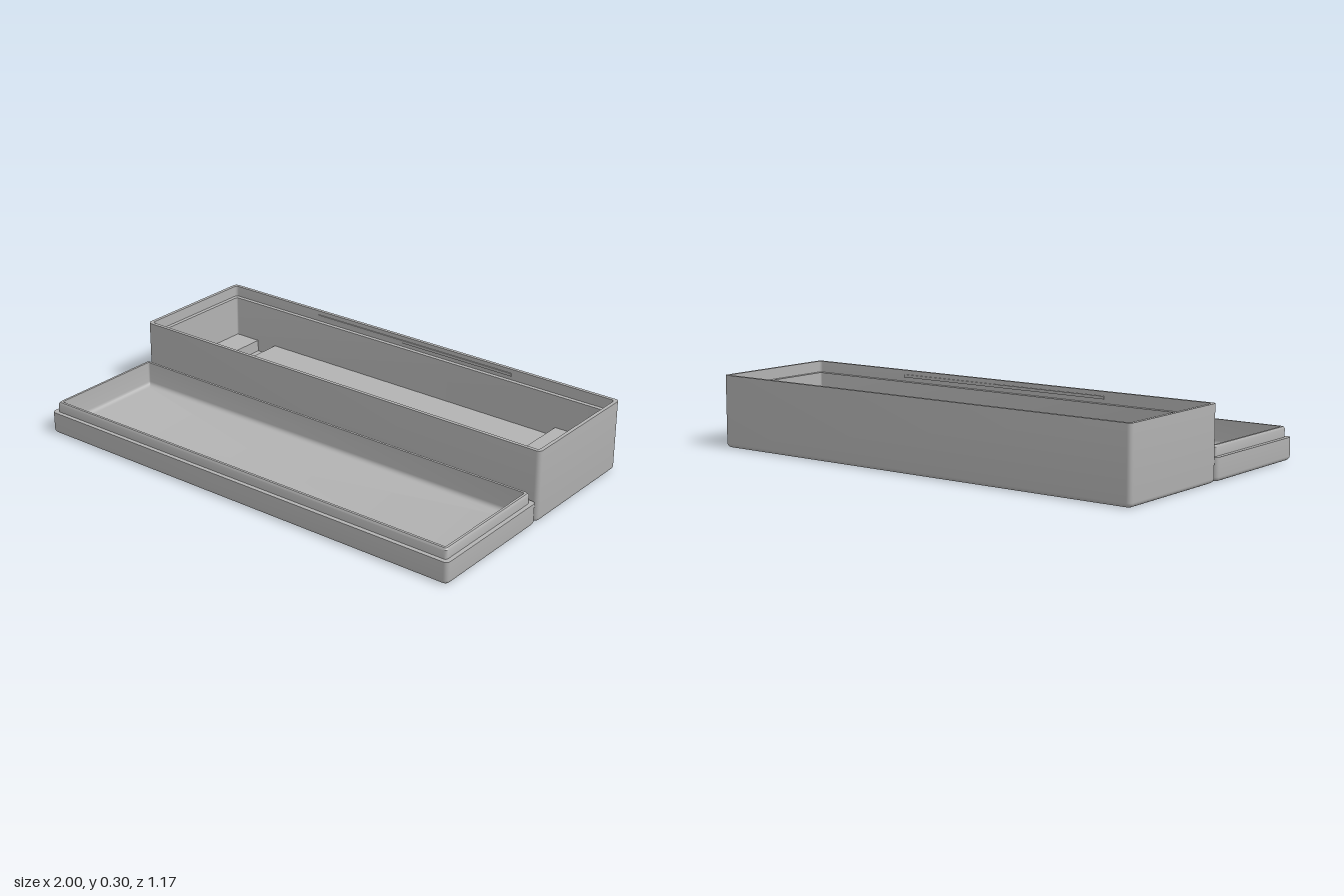
import * as THREE from 'three';
import { toCreasedNormals } from 'three/addons/utils/BufferGeometryUtils.js';

const LENGTH = 2, DEPTH = 0.579, CORNER = 0.018, STEPS = 5;
const BOX_Z = -0.2935, LID_Z = 0.2935;

// Rounded rectangle at height y, inset from the outer footprint
function ring([inset, y]) {
  const points = [];
  const r = Math.max(0.006, CORNER - inset * 0.35);
  const hx = LENGTH / 2 - inset - r, hz = DEPTH / 2 - inset - r;
  const signs = [[1, 1], [-1, 1], [-1, -1], [1, -1]];
  signs.forEach(([sx, sz], q) => {
    for (let i = 0; i <= STEPS; i++) {
      const a = (q + i / STEPS) * Math.PI / 2;
      points.push([sx * hx + r * Math.cos(a), y, sz * hz + r * Math.sin(a)]);
    }
  });
  return points;
}

// Closed tray swept through a wall profile of [inset, height] pairs
function trayGeometry(profile) {
  const rings = profile.map(ring);
  const n = rings[0].length;
  const centre = (y) => Array.from({ length: n }, () => [0, y, 0]);
  const last = rings.length;
  rings.unshift(centre(profile[0][1]));
  rings.push(centre(profile[last - 1][1]));
  const pos = [];
  for (let i = 0; i <= last; i++) {
    for (let j = 0; j < n; j++) {
      const k = (j + 1) % n;
      const a = rings[i][j], b = rings[i + 1][j], c = rings[i + 1][k], d = rings[i][k];
      if (i < last) pos.push(...b, ...c, ...d);
      if (i > 0) pos.push(...a, ...b, ...d);
    }
  }
  const geo = new THREE.BufferGeometry();
  geo.setAttribute('position', new THREE.Float32BufferAttribute(pos, 3));
  // Enlarged while smoothing so small fillets stay distinct
  geo.scale(100, 100, 100);
  const smooth = toCreasedNormals(geo, 0.6);
  smooth.scale(0.01, 0.01, 0.01);
  return smooth;
}

// Quarter-round fillet between two angles
function arc(cx, cy, r, from, to) {
  return Array.from({ length: 6 }, (_, i) => {
    const a = from + (to - from) * i / 5;
    return [cx + r * Math.cos(a), cy + r * Math.sin(a)];
  });
}

export function createModel() {
  const group = new THREE.Group();
  const grey = new THREE.MeshStandardMaterial({ color: 0xb2b2b2 });
  grey.name = 'grey plastic';

  const add = (name, geo, parent) => {
    const mesh = new THREE.Mesh(geo, grey);
    mesh.name = name;
    parent.add(mesh);
    return mesh;
  };
  // Block given by its minimum and maximum corners
  const block = (name, parent, [x0, y0, z0], [x1, y1, z1]) => {
    const mesh = add(name, new THREE.BoxGeometry(x1 - x0, y1 - y0, z1 - z0), parent);
    mesh.position.set((x0 + x1) / 2, (y0 + y1) / 2, (z0 + z1) / 2);
  };

  const under = arc(0.018, 0.018, 0.018, -Math.PI / 2, -Math.PI);

  // Deep box with a recessed rim
  const box = new THREE.Group();
  box.name = 'box';
  box.position.z = BOX_Z;
  group.add(box);
  add('boxShell', trayGeometry([
    ...under, [0, 0.302], [0.015, 0.302], [0.015, 0.255],
    [0.033, 0.255], [0.033, 0.025],
  ]), box);

  // Raised floor either side of a cross groove
  const wz = DEPTH / 2 - 0.025, wx = LENGTH / 2 - 0.025;
  block('floorLeftOfGroove', box, [-wx, 0.02, -wz], [-0.845, 0.076, wz]);
  block('mainFloor', box, [-0.745, 0.02, -wz], [wx, 0.076, wz]);

  // Stepped mounting blocks at one end
  block('lowMount', box, [0.735, 0.07, -wz], [wx, 0.115, 0.146]);
  block('highMount', box, [0.735, 0.07, 0.146], [wx, 0.165, wz]);

  // Snap ridges inside the long rims
  for (const s of [-1, 1]) {
    const outer = s * (DEPTH / 2 - 0.012), inner = s * (DEPTH / 2 - 0.02);
    block('snapRidge', box, [-0.505, 0.272, Math.min(outer, inner)],
      [0.505, 0.284, Math.max(outer, inner)]);
  }

  // Shallow lid lying open side up, with a fitting lip
  const lid = new THREE.Group();
  lid.name = 'lid';
  lid.position.z = LID_Z;
  group.add(lid);
  add('lidShell', trayGeometry([
    ...under, [0, 0.094], [0.018, 0.094], [0.018, 0.129],
    [0.023, 0.137], [0.033, 0.137],
    ...arc(0.051, 0.048, 0.018, Math.PI, Math.PI * 1.5),
  ]), lid);

  return group;
}
